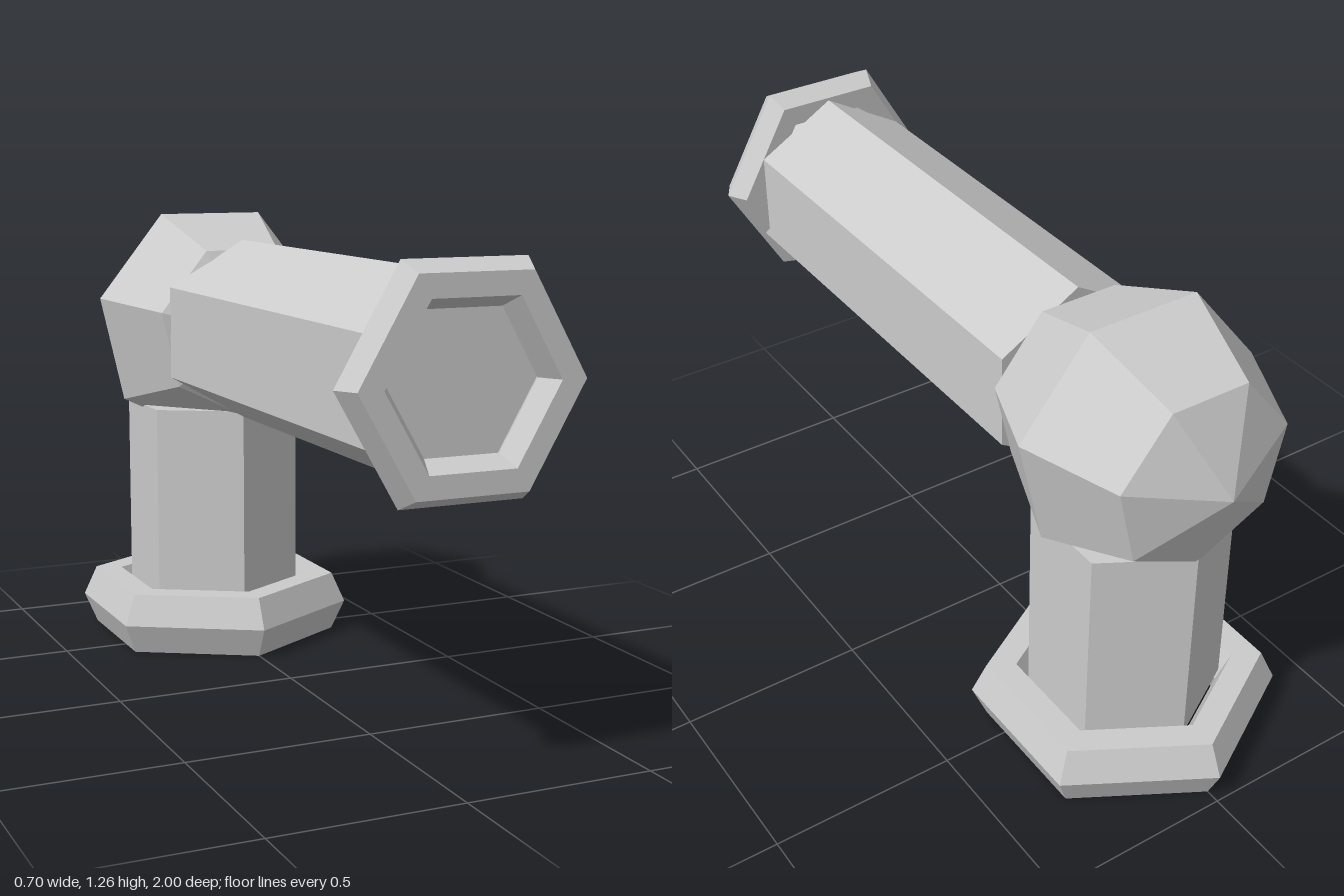
import * as THREE from 'three';

const material = new THREE.MeshStandardMaterial({ color: 0xcccccc, flatShading: true });

function addPart(group, name, geometry, x, y, z) {
  const mesh = new THREE.Mesh(geometry, material);
  mesh.name = name;
  mesh.position.set(x, y, z);
  group.add(mesh);
  return mesh;
}

export function createModel() {
  const group = new THREE.Group();
  group.name = 'pipeElbow';

  const pipeRadius = 0.255;
  const axisY = 0.945;   // height of the horizontal pipe
  const axisZ = -0.595;  // depth of the vertical pipe

  // Upright hexagonal pipe, from inside the base flange to the joint
  const bottom = 0.12, top = 0.705;
  addPart(group, 'verticalPipe',
    new THREE.CylinderGeometry(pipeRadius, pipeRadius, top - bottom, 6),
    0, (top + bottom) / 2, axisZ);

  // Horizontal hexagonal pipe, from the joint to the front flange
  const back = -0.34, front = 0.92;
  addPart(group, 'horizontalPipe',
    new THREE.CylinderGeometry(pipeRadius, pipeRadius, front - back, 6).rotateX(Math.PI / 2),
    0, axisY, (front + back) / 2);

  // Seven-sided ball joint, poles along z, one corner straight down
  addPart(group, 'ballJoint',
    new THREE.SphereGeometry(0.355, 7, 4, Math.PI / 2).rotateX(Math.PI / 2),
    0, axisY, axisZ);

  // Flange rings with hexagonal outline and hexagonal section
  addPart(group, 'frontFlange',
    new THREE.TorusGeometry(0.254, 0.0635, 6, 6),
    0, 0.96, 0.945);

  const baseRing = new THREE.TorusGeometry(0.327, 0.079, 6, 6);
  baseRing.rotateZ(Math.PI / 2).rotateX(Math.PI / 2).scale(1, 1.27, 1);
  addPart(group, 'baseFlange', baseRing, 0, 0.087, axisZ);

  return group;
}
